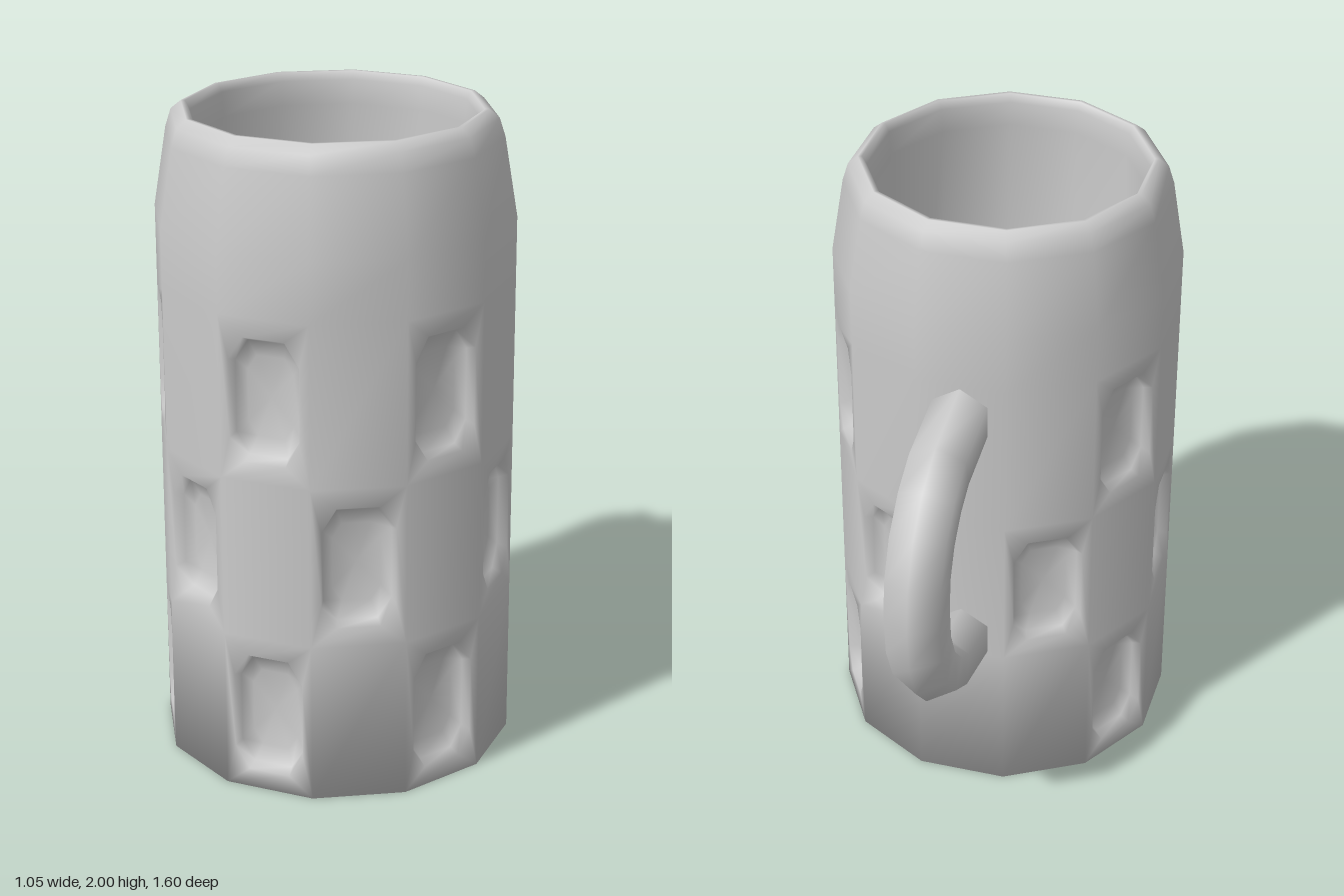
import * as THREE from 'three';
import { mergeVertices } from 'three/addons/utils/BufferGeometryUtils.js';

const SIDES = 12, APOTHEM = 0.525, CENTRE_Z = 0.275;
const TAN = Math.tan(Math.PI / SIDES);

// Collects polygons and turns them into one smooth, welded geometry
function builder() {
  const pos = [];
  const tri = (a, b, c) => {
    if (a.distanceTo(b) < 1e-5 || b.distanceTo(c) < 1e-5 || c.distanceTo(a) < 1e-5) return;
    for (const p of [a, b, c]) pos.push(p.x, p.y, p.z);
  };
  const quad = (a, b, c, d) => { tri(a, b, c); tri(a, c, d); };
  // Joins two loops of equal length
  const bridge = (p, q) => p.forEach((a, i) => {
    const j = (i + 1) % p.length;
    quad(a, p[j], q[j], q[i]);
  });
  const geometry = () => {
    const g = new THREE.BufferGeometry();
    g.setAttribute('position', new THREE.Float32BufferAttribute(pos, 3));
    const merged = mergeVertices(g, 1e-4);
    merged.computeVertexNormals();
    return merged;
  };
  return { quad, bridge, geometry };
}

// Point on a wall: face angle, distance from the axis, sideways offset, height
const wallPoint = (angle, r, u, y) => new THREE.Vector3(
  Math.sin(angle) * r + Math.cos(angle) * u, y,
  Math.cos(angle) * r - Math.sin(angle) * u + CENTRE_Z);

// Outline of a pressed dimple, around the middle of its panel
const DIMPLE = [[-0.065, -0.19], [0.065, -0.19], [0.11, -0.12], [0.11, 0.12],
  [0.065, 0.19], [-0.065, 0.19], [-0.11, 0.12], [-0.11, -0.12]];

function addDimple(b, angle, midY) {
  const loop = (scale, depth) => DIMPLE.map(([u, v]) =>
    wallPoint(angle, APOTHEM - depth, u * scale, midY + v * scale));
  const border = DIMPLE.map(([u, v]) =>
    wallPoint(angle, APOTHEM, Math.sign(u) * APOTHEM * TAN, midY + Math.sign(v) * 0.25));
  const loops = [border, loop(1, 0), loop(0.92, 0.03), loop(0.65, 0.05), loop(0, 0.055)];
  for (let i = 1; i < loops.length; i++) b.bridge(loops[i - 1], loops[i]);
}

function mugBody() {
  // Apothem and height: underside, wall, rim, inside, floor
  const profile = [[0, 0], [APOTHEM, 0], [APOTHEM, 0.5], [APOTHEM, 1], [APOTHEM, 1.5],
    [APOTHEM, 1.68], [0.487, 1.92], [0.47, 1.975], [0.44, 2], [0.428, 2], [0.415, 1.975],
    [0.41, 1.9], [0.41, 0.14], [0, 0.12]];
  const b = builder();
  for (let k = 0; k < SIDES; k++) {
    const angle = k * 2 * Math.PI / SIDES;
    for (let i = 0; i < profile.length - 1; i++) {
      const [r0, y0] = profile[i], [r1, y1] = profile[i + 1];
      // Checkerboard of dimples, left plain where the handle joins
      if (i >= 1 && i <= 3 && (k + i) % 2 === 1 && k !== SIDES / 2) {
        addDimple(b, angle, (y0 + y1) / 2);
        continue;
      }
      b.quad(wallPoint(angle, r0, -r0 * TAN, y0), wallPoint(angle, r0, r0 * TAN, y0),
        wallPoint(angle, r1, r1 * TAN, y1), wallPoint(angle, r1, -r1 * TAN, y1));
    }
  }
  return b.geometry();
}

function mugHandle() {
  // Upper half of the centre line as z, y; mirrored below the middle
  const MID = 0.978, R = 0.1;
  const upper = [[-0.2, 1.4], [-0.465, 1.345], [-0.56, 1.29], [-0.64, 1.205], [-0.69, 1.095]];
  const path = [...upper, [-0.7, MID],
    ...upper.map(([z, y]) => [z, 2 * MID - y]).reverse()]
    .map(([z, y]) => new THREE.Vector3(0, y, z));
  const b = builder();
  // Hexagonal sections with a ridge along the outside
  const rings = path.map((p, i) => {
    const t = path[Math.min(i + 1, path.length - 1)].clone().sub(path[Math.max(i - 1, 0)]).normalize();
    const out = new THREE.Vector3(0, -t.z, t.y);
    return Array.from({ length: 6 }, (_, j) => {
      const a = j * Math.PI / 3;
      return p.clone().addScaledVector(out, R * Math.cos(a))
        .add(new THREE.Vector3(R * Math.sin(a), 0, 0));
    });
  });
  for (let i = 1; i < rings.length; i++) b.bridge(rings[i - 1], rings[i]);
  // End caps
  const first = rings[0], last = rings[rings.length - 1];
  b.bridge(first.map(() => path[0]), first);
  b.bridge(last, last.map(() => path[path.length - 1]));
  return b.geometry();
}

export function createModel() {
  const group = new THREE.Group();
  group.name = 'beerMug';
  const material = new THREE.MeshStandardMaterial({ color: 0xcccccc, side: THREE.DoubleSide });
  for (const [name, geometry] of [['body', mugBody()], ['handle', mugHandle()]]) {
    const mesh = new THREE.Mesh(geometry, material);
    mesh.name = name;
    group.add(mesh);
  }
  return group;
}
